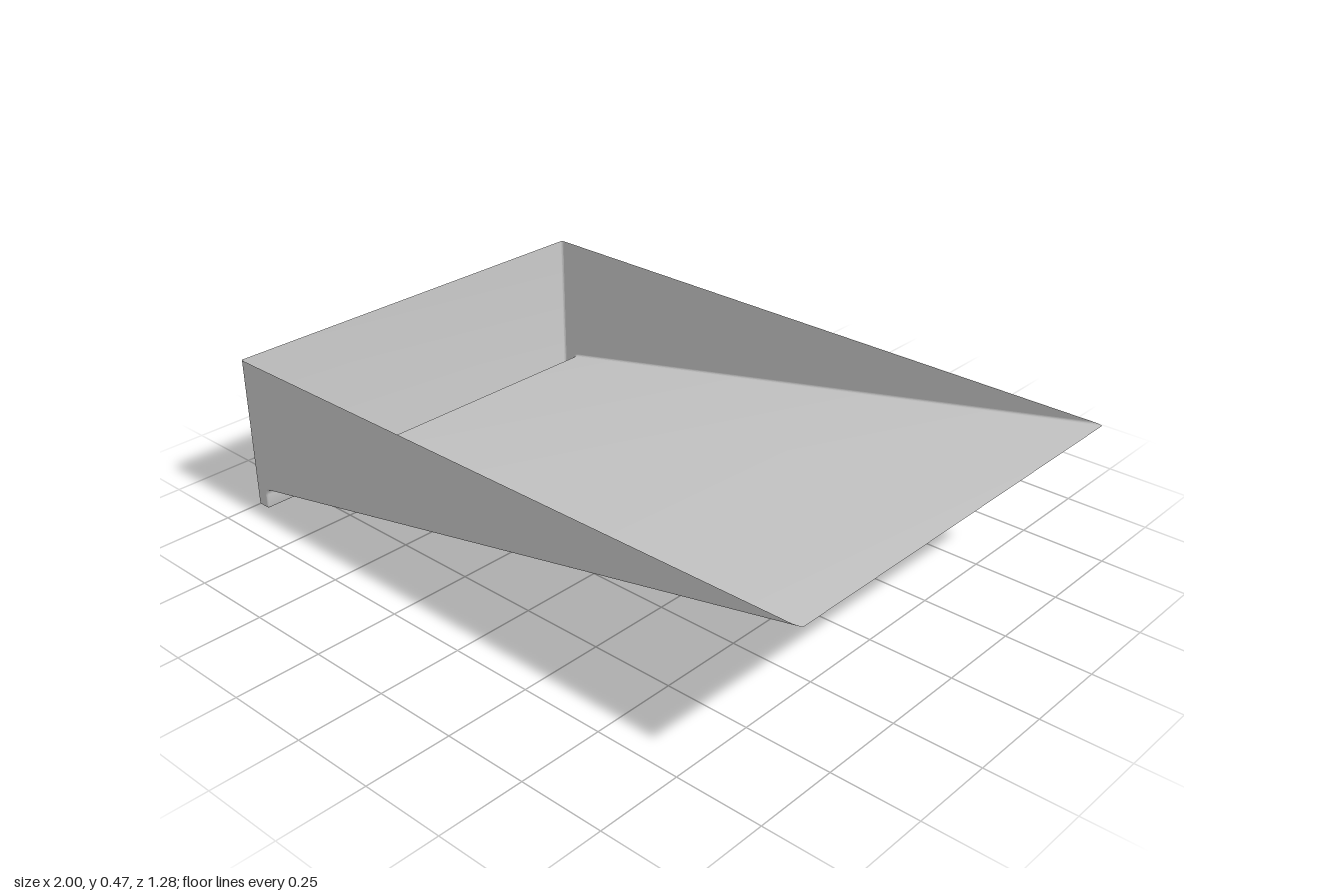
import * as THREE from 'three';
import { toCreasedNormals } from 'three/addons/utils/BufferGeometryUtils.js';

const HALF_WIDTH = 0.638, RIM = 0.467, FILLET = 0.006;

// Side profile: down the end wall, round the lip, then up the ramp
function makeProfile() {
  const path = new THREE.Path();
  path.moveTo(-1, RIM);
  path.lineTo(-1, 0.01);
  path.quadraticCurveTo(-1, 0, -0.99, 0);
  path.lineTo(-0.965, 0);
  path.quadraticCurveTo(-0.955, 0, -0.955, 0.01);
  path.lineTo(-0.955, 0.045);
  path.quadraticCurveTo(-0.955, 0.062, -0.938, 0.066);
  path.lineTo(1, RIM);
  return path.getPoints(5);
}

// Moves the profile inward by d, keeping both ends at rim height
function inset(points, d) {
  const last = points.length - 1;
  return points.map((p, i) => {
    const t = points[Math.min(i + 1, last)].clone().sub(points[Math.max(i - 1, 0)]).normalize();
    if (i === 0) return new THREE.Vector2(p.x + d, p.y);
    if (i === last) return new THREE.Vector2(p.x - d / t.y, p.y);
    return new THREE.Vector2(p.x - t.y * d, p.y + t.x * d);
  });
}

export function createModel() {
  const group = new THREE.Group();
  group.name = 'wedgeTray';
  const material = new THREE.MeshStandardMaterial({ color: 0xcccccc, side: THREE.DoubleSide });
  const profile = makeProfile();
  const n = profile.length;

  // Cross-sections across the width, rounded over at both sides
  const stations = [];
  for (let k = 0; k <= 4; k++) {
    const a = (k / 4) * Math.PI / 2;
    stations.push({ z: -HALF_WIDTH + FILLET * (1 - Math.cos(a)), d: FILLET * (1 - Math.sin(a)) });
  }
  stations.push(...stations.map(s => ({ z: -s.z, d: s.d })).reverse());

  // End wall, lip and ramp as one folded sheet
  const positions = [], indices = [];
  stations.forEach(({ z, d }, j) => {
    inset(profile, d).forEach(p => positions.push(p.x, p.y, z));
    if (j === 0) return;
    for (let i = 0; i < n - 1; i++) {
      const a = (j - 1) * n + i, c = j * n + i;
      indices.push(a, a + 1, c, a + 1, c + 1, c);
    }
  });
  const sheet = new THREE.BufferGeometry();
  sheet.setAttribute('position', new THREE.Float32BufferAttribute(positions, 3));
  sheet.setIndex(indices);
  const floor = new THREE.Mesh(toCreasedNormals(sheet, Math.PI / 6), material);
  floor.name = 'endWallLipAndRamp';
  group.add(floor);

  // Triangular side walls
  const wall = new THREE.ShapeGeometry(new THREE.Shape(inset(profile, FILLET)));
  for (const side of [1, -1]) {
    const mesh = new THREE.Mesh(wall, material);
    mesh.name = side > 0 ? 'frontSideWall' : 'backSideWall';
    mesh.scale.z = side;
    mesh.position.z = side * HALF_WIDTH;
    group.add(mesh);
  }
  return group;
}
